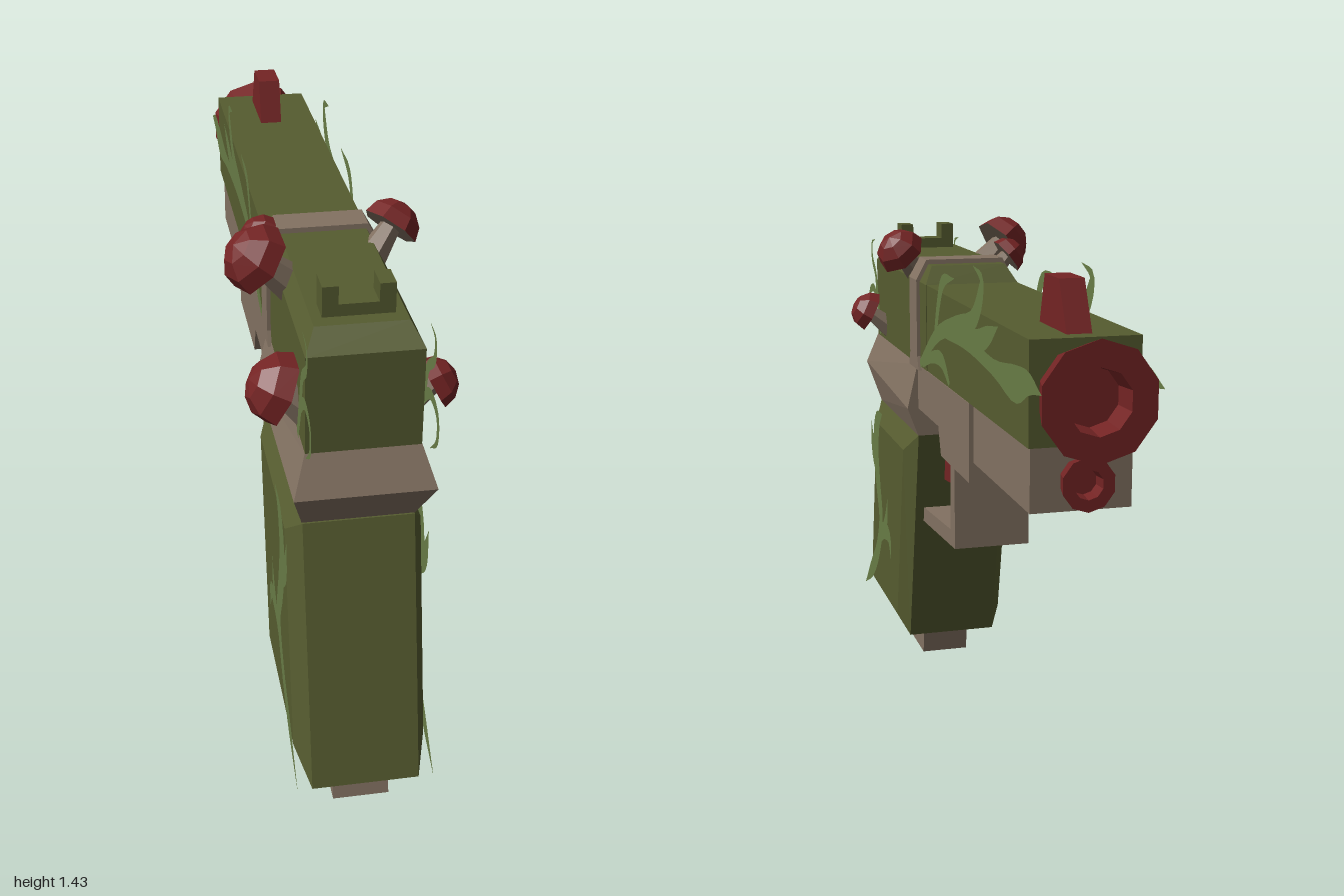
import * as THREE from 'three';

const mat = (name, color) => Object.assign(new THREE.MeshStandardMaterial({ color }), { name });

export function createModel() {
  const green = mat('moss green', 0x565c30);
  const tan = mat('bark brown', 0x837262);
  const red = mat('mushroom red', 0x742424);
  const vineMat = mat('vine green', 0x687c46);
  vineMat.side = THREE.DoubleSide;

  const model = new THREE.Group();
  const body = new THREE.Group();
  body.name = 'pistol';
  body.position.x = 0.02;
  model.add(body);

  // faceted mesh
  const add = (parent, name, geo, material) => {
    const g = geo.index ? geo.toNonIndexed() : geo;
    g.computeVertexNormals();
    const mesh = new THREE.Mesh(g, material);
    mesh.name = name;
    parent.add(mesh);
    return mesh;
  };

  // solid through a stack of four-cornered sections
  const loft = (rings) => {
    const idx = [];
    for (let i = 0; i < rings.length - 1; i++) {
      for (let k = 0; k < 4; k++) {
        const a = i * 4 + k, b = i * 4 + (k + 1) % 4;
        idx.push(a, b, b + 4, a, b + 4, a + 4);
      }
    }
    const e = (rings.length - 1) * 4;
    idx.push(0, 2, 1, 0, 3, 2, e, e + 1, e + 2, e, e + 2, e + 3);
    const g = new THREE.BufferGeometry();
    g.setAttribute('position', new THREE.Float32BufferAttribute(rings.flat(2), 3));
    g.setIndex(idx);
    return g;
  };
  // horizontal section: half width, rear z and y, front z and y
  const level = (h, zr, yr, zf, yf = yr) => [[-h, yr, zr], [h, yr, zr], [h, yf, zf], [-h, yf, zf]];
  // side outline given as (z, y), extruded across x
  const profile = (pts, half) => {
    const s = new THREE.Shape(pts.map(([z, y]) => new THREE.Vector2(-z, y)));
    const g = new THREE.ExtrudeGeometry(s, { depth: half * 2, bevelEnabled: false });
    return g.translate(0, 0, -half).rotateY(Math.PI / 2);
  };
  const block = (x, y0, y1, z0, z1, w) =>
    new THREE.BoxGeometry(w, y1 - y0, z1 - z0).translate(x, (y0 + y1) / 2, (z0 + z1) / 2);

  // slide
  add(body, 'slideFront', block(0, 1.02, 1.27, -0.88, 0.2, 0.27), green);
  add(body, 'slideRear', loft([
    level(0.137, 0.87, 1.02, 0.14), level(0.137, 0.87, 1.27, 0.14), level(0.11, 0.82, 1.32, 0.18),
  ]), green);
  add(body, 'slideBand', loft([
    level(0.147, 0.335, 1.01, 0.205), level(0.147, 0.318, 1.05, 0.222),
    level(0.147, 0.318, 1.275, 0.222), level(0.115, 0.315, 1.333, 0.225),
  ]), tan);

  // sights
  add(body, 'rearSightBase', block(0, 1.31, 1.35, 0.71, 0.78, 0.17), green);
  for (const s of [-1, 1]) add(body, 'rearSightPost', block(s * 0.066, 1.31, 1.395, 0.71, 0.78, 0.038), green);
  add(body, 'frontSight', profile([[-0.62, 1.26], [-0.66, 1.39], [-0.77, 1.39], [-0.835, 1.26]], 0.031), red);

  // frame
  add(body, 'frameRear', loft([
    level(0.138, 0.83, 0.8, 0.26), level(0.17, 0.915, 0.92, 0.26, 0.885), level(0.138, 0.87, 1.02, 0.26),
  ]), tan);
  add(body, 'frameFront', profile([
    [0.27, 0.885], [0, 0.885], [-0.03, 0.805], [-0.35, 0.805], [-0.35, 1.02], [0.27, 1.02],
  ], 0.137), tan);
  add(body, 'rail', block(0, 0.86, 1.02, -0.86, -0.34, 0.25), tan);
  add(body, 'triggerGuard', profile([
    [-0.03, 0.82], [-0.08, 0.82], [-0.08, 0.54], [0.34, 0.51], [0.34, 0.555], [-0.03, 0.585],
  ], 0.11), tan);
  add(body, 'trigger', profile([[0.255, 0.9], [0.145, 0.665], [0.3, 0.648], [0.27, 0.9]], 0.05), red);

  // grip with raised side panels
  const gripOutline = (x) => [[x, 0.1, 1], [x, 0.1, 0.42], [x, 0.8, 0.26], [x, 0.8, 0.835]];
  const gripPanel = (x) => [[x, 0.16, 0.9], [x, 0.16, 0.465], [x, 0.74, 0.335], [x, 0.74, 0.765]];
  add(body, 'grip', loft([gripPanel(-0.17), gripOutline(-0.137), gripOutline(0.137), gripPanel(0.17)]), green);
  add(body, 'magazine', loft([level(0.073, 0.945, 0, 0.515), level(0.073, 0.925, 0.11, 0.497)]), tan);

  // hollow flared muzzles
  const muzzle = (name, r, len, y, z) => {
    const pts = [[0.8 * r, 0], [r, len], [0.55 * r, len], [0.5 * r, len * 0.3], [0, len * 0.3]];
    const g = new THREE.LatheGeometry(pts.map(([a, b]) => new THREE.Vector2(a, b)), 10);
    add(body, name, g.rotateX(-Math.PI / 2).translate(0, y, z), red);
  };
  muzzle('muzzle', 0.143, 0.105, 1.14, -0.878);
  muzzle('lowerMuzzle', 0.066, 0.06, 0.935, -0.855);

  // vine ribbons: centre line as (z, y, half width), tapering along the way
  const ribbon = (pts) => {
    const curve = new THREE.CatmullRomCurve3(pts.map(([z, y, w]) => new THREE.Vector3(-z, y, w)));
    const n = pts.length * 3, a = [], b = [];
    for (let i = 0; i <= n; i++) {
      const p = curve.getPoint(i / n), t = curve.getTangent(i / n);
      const k = Math.max(p.z, 0.001) / Math.hypot(t.x, t.y);
      a.push(new THREE.Vector2(p.x - t.y * k, p.y + t.x * k));
      b.unshift(new THREE.Vector2(p.x + t.y * k, p.y - t.x * k));
    }
    return new THREE.ShapeGeometry(new THREE.Shape([...a, ...b])).rotateY(Math.PI / 2);
  };
  const slideVines = [
    [[0.2, 1.03, 0.012], [-0.02, 1.15, 0.022], [-0.24, 1.21, 0.025], [-0.42, 1.25, 0.028], [-0.49, 1.32, 0.025], [-0.5, 1.36, 0.015], [-0.42, 1.385, 0]],
    [[-0.1, 1.17, 0.015], [-0.35, 1.18, 0.02], [-0.62, 1.16, 0.022], [-0.8, 1.155, 0.045], [-0.9, 1.175, 0.028], [-1, 1.167, 0]],
    [[-0.24, 1.2, 0.015], [-0.45, 1.2, 0.03], [-0.56, 1.23, 0.025], [-0.65, 1.265, 0]],
    [[0, 1.15, 0.015], [-0.04, 1.24, 0.018], [-0.09, 1.305, 0.02], [-0.22, 1.33, 0]],
    [[0.17, 1.035, 0.01], [0.03, 1.08, 0.018], [-0.08, 1.085, 0.022], [-0.16, 1.035, 0.008]],
    [[0.8, 1.03, 0.012], [0.84, 1.14, 0.018], [0.865, 1.22, 0.014], [0.92, 1.27, 0.012], [0.92, 1.32, 0.007], [0.87, 1.335, 0]],
    [[0.83, 1.12, 0.015], [0.9, 1.17, 0.014], [0.97, 1.15, 0.012], [0.975, 1.09, 0.009], [0.92, 1.04, 0]],
  ];
  const gripVines = [
    [[1, 0.1, 0], [0.87, 0.19, 0.028], [0.75, 0.3, 0.028], [0.69, 0.42, 0.03], [0.73, 0.54, 0.038], [0.755, 0.66, 0.042], [0.72, 0.75, 0.035], [0.64, 0.79, 0]],
    [[0.74, 0.33, 0.018], [0.65, 0.39, 0.028], [0.56, 0.395, 0.025], [0.53, 0.32, 0]],
    [[0.68, 0.38, 0.015], [0.61, 0.43, 0.022], [0.575, 0.52, 0]],
    [[0.73, 0.56, 0.02], [0.8, 0.64, 0.03], [0.83, 0.74, 0]],
  ];
  for (const s of [-1, 1]) {
    for (const v of slideVines) add(body, 'slideVine', ribbon(v).translate(s * 0.143, 0, 0), vineMat);
    for (const v of gripVines) add(body, 'gripVine', ribbon(v).translate(s * 0.175, 0, 0), vineMat);
  }

  // mushrooms: root, cap centre, cap direction, cap radius
  const up = new THREE.Vector3(0, 1, 0);
  const mushroom = (root, cap, dir, r) => {
    const g = new THREE.Group();
    g.name = 'mushroom';
    const a = new THREE.Vector3(...root), b = new THREE.Vector3(...cap), d = b.clone().sub(a);
    const stem = add(g, 'stem', new THREE.CylinderGeometry(r * 0.35, r * 0.6, d.length() + r * 0.3, 6), tan);
    stem.position.copy(a).addScaledVector(d, 0.5);
    stem.quaternion.setFromUnitVectors(up, d.clone().normalize());
    const head = new THREE.Group();
    head.position.copy(b);
    head.quaternion.setFromUnitVectors(up, new THREE.Vector3(...dir).normalize());
    add(head, 'cap', new THREE.SphereGeometry(r, 7, 3, 0, Math.PI * 2, 0, Math.PI / 2).scale(1, 0.95, 1), red);
    add(head, 'gills', new THREE.CircleGeometry(r, 7).rotateX(Math.PI / 2).rotateY(Math.PI), tan);
    g.add(head);
    model.add(g);
  };
  mushroom([0.11, 1.26, 0.41], [0.18, 1.34, 0.36], [0.55, 0.65, -0.35], 0.075);
  mushroom([0.14, 1.06, 0.75], [0.205, 1.11, 0.75], [0.85, 0.45, 0], 0.066);
  mushroom([-0.07, 1.25, 0.49], [-0.17, 1.345, 0.515], [-0.7, 0.6, 0.2], 0.09);
  mushroom([-0.1, 1.08, 0.74], [-0.15, 1.12, 0.745], [-0.85, 0.4, 0], 0.092);
  mushroom([-0.09, 1.27, 0.34], [-0.14, 1.325, 0.34], [-0.75, 0.6, 0], 0.058);

  return model;
}
